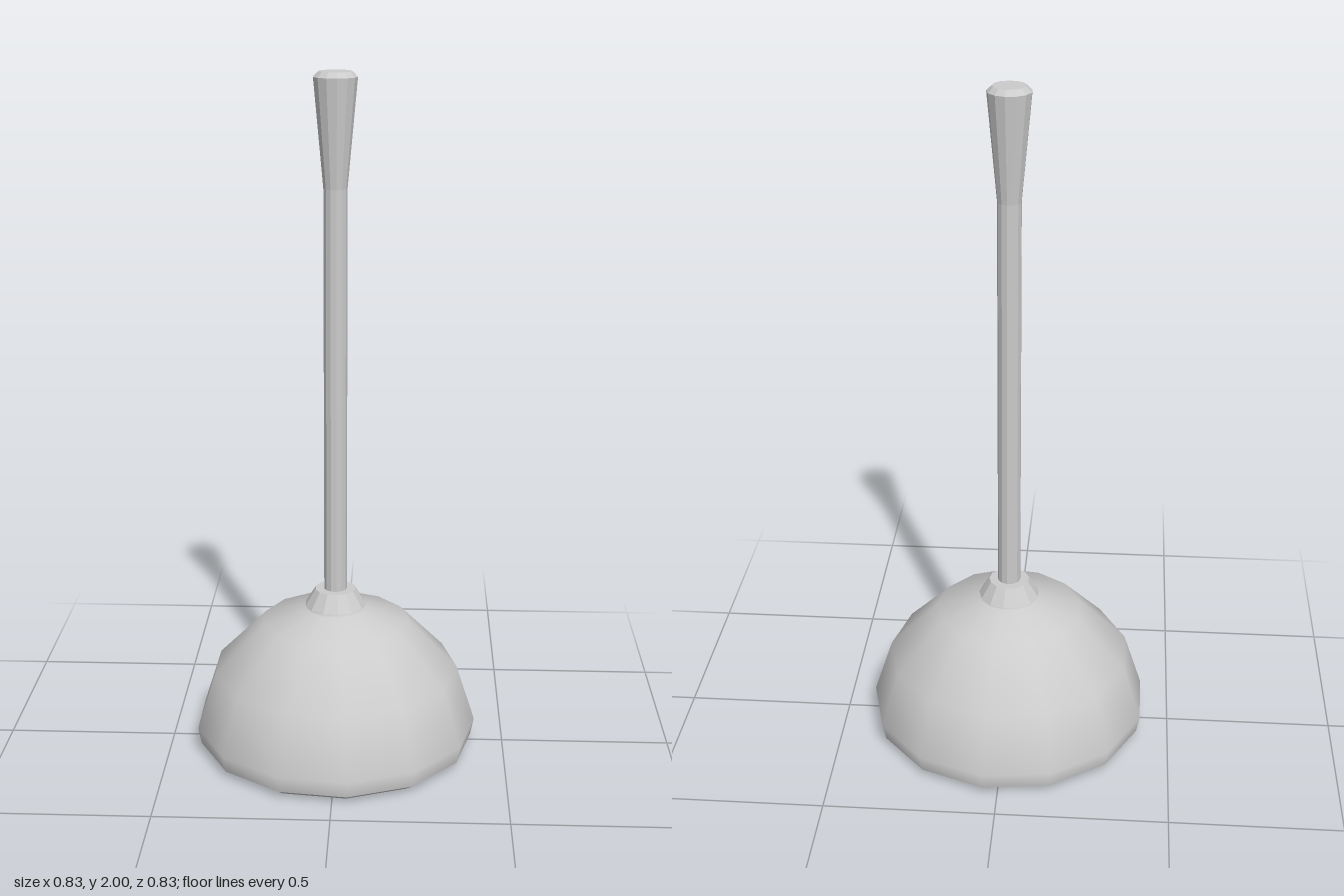
import * as THREE from 'three';

const SIDES = 13;
const material = new THREE.MeshStandardMaterial({ color: 0xcccccc });
const flatMaterial = new THREE.MeshStandardMaterial({ color: 0xcccccc, flatShading: true });

// Revolves [radius, height] points listed from bottom to top, one corner on +x
function turned(name, points, mat = flatMaterial) {
  const profile = points.map(([r, y]) => new THREE.Vector2(r, y));
  const mesh = new THREE.Mesh(new THREE.LatheGeometry(profile, SIDES), mat);
  mesh.name = name;
  mesh.rotation.y = Math.PI / 2;
  return mesh;
}

export function createModel() {
  const group = new THREE.Group();
  group.name = 'plunger';

  // Rubber cup: smooth outer dome, faceted rim and hollow underside
  const cup = new THREE.Group();
  cup.name = 'cup';
  cup.add(
    turned('dome', [[0.41, 0.02], [0.42, 0.07], [0.365, 0.24], [0.218, 0.39], [0.088, 0.43], [0.085, 0.442]], material),
    turned('rim', [[0.333, 0], [0.38, 0], [0.41, 0.02]]),
    turned('cavity', [[0, 0.26], [0.333, 0.26], [0.333, 0]])
  );

  // Collar joining the cup and the stick
  const collar = turned('collar', [[0.08, 0.44], [0.091, 0.44], [0.06, 0.49], [0, 0.49]]);

  // Stick with a flared grip and a bevelled end
  const handle = turned('handle', [[0.034, 0.47], [0.034, 1.68], [0.062, 1.985], [0.047, 2], [0, 2]]);

  group.add(cup, collar, handle);
  // Centre the odd-sided outline
  for (const part of group.children) part.position.x = -0.006;
  return group;
}
